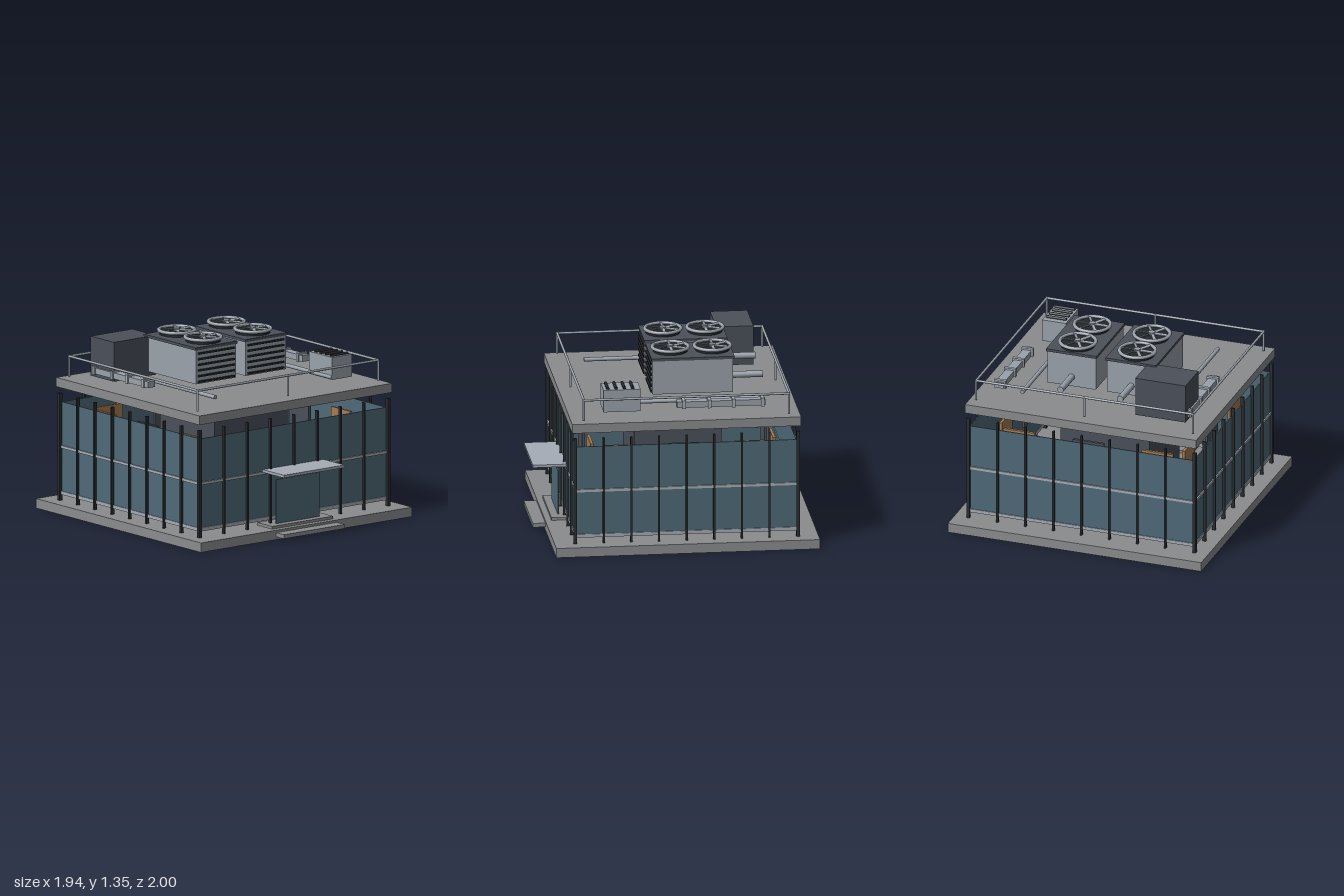
import * as THREE from 'three';

const mat = (c, double) => new THREE.MeshStandardMaterial({ color: c, side: double ? THREE.DoubleSide : THREE.FrontSide });
const M = {
  concrete: mat(0x8a8c8e), glass: mat(0x4f6a78, true), frame: mat(0x2a2e32), dark: mat(0x4b505a),
  metal: mat(0x9aa2ab), light: mat(0xa6adb6), black: mat(0x24272c), warm: mat(0xa67c52), lamp: mat(0xe0a850),
};
const CZ = -0.045; // building centre in z

export function createModel() {
  const root = new THREE.Group();

  // box given by its min/max on each axis
  const box = (name, m, x0, x1, y0, y1, z0, z1, parent = root) => {
    const b = new THREE.Mesh(new THREE.BoxGeometry(x1 - x0, y1 - y0, z1 - z0), m);
    b.position.set((x0 + x1) / 2, (y0 + y1) / 2, (z0 + z1) / 2);
    b.name = name;
    parent.add(b);
    return b;
  };
  // round bar between two points
  const bar = (name, m, a, b, r, parent = root) => {
    const p = new THREE.Vector3(...a), q = new THREE.Vector3(...b), d = q.clone().sub(p);
    const c = new THREE.Mesh(new THREE.CylinderGeometry(r, r, d.length(), 16), m);
    c.position.copy(p).add(q).multiplyScalar(0.5);
    c.quaternion.setFromUnitVectors(new THREE.Vector3(0, 1, 0), d.normalize());
    c.name = name;
    parent.add(c);
    return c;
  };
  // four thin walls around the building
  const ring = (name, m, hx, hz, y0, y1, t) => {
    const g = new THREE.Group();
    g.name = name;
    for (const s of [-1, 1]) {
      box(name + 'Long', m, -hx - t, hx + t, y0, y1, CZ + s * hz - t, CZ + s * hz + t, g);
      box(name + 'Side', m, s * hx - t, s * hx + t, y0, y1, CZ - hz + t, CZ + hz - t, g);
    }
    root.add(g);
  };

  // base, core and roof slab
  box('base', M.concrete, -0.97, 0.97, 0, 0.07, -1, 0.91);
  box('core', M.dark, -0.34, 0.34, 0.05, 0.86, -0.36, 0.275);
  box('roofSlab', M.concrete, -0.885, 0.885, 0.905, 0.972, -0.873, 0.785);

  // facade: glass, transoms and mullions
  ring('glass', M.glass, 0.855, 0.797, 0.12, 0.795, 0.004);
  ring('lowerTransom', M.light, 0.857, 0.799, 0.113, 0.138, 0.008);
  ring('middleTransom', M.light, 0.857, 0.799, 0.455, 0.475, 0.011);
  for (let i = -3; i <= 3; i++) for (const s of [-1, 1]) {
    const x = i * 0.214, z = CZ + i * 0.2, zf = CZ + s * 0.807;
    box('mullion', M.frame, x - 0.007, x + 0.007, 0.07, 0.86, zf - 0.012, zf + 0.012);
    box('mullion', M.frame, s * 0.866 - 0.012, s * 0.866 + 0.012, 0.07, 0.86, z - 0.007, z + 0.007);
  }
  for (const sx of [-1, 1]) for (const sz of [-1, 1])
    box('cornerPost', M.frame, sx * 0.866 - 0.012, sx * 0.866 + 0.012, 0.07, 0.86,
      CZ + sz * 0.807 - 0.012, CZ + sz * 0.807 + 0.012);

  // interior panels seen over the top of the glass
  for (const s of [-1, 1]) for (const p of [-0.53, 0, 0.53]) {
    const m = p === 0 ? M.dark : M.warm, z = CZ + s * 0.66, x = s * 0.7;
    box('interiorPanel', m, p - 0.12, p + 0.12, 0.5, 0.75, z - 0.01, z + 0.01);
    box('interiorPanel', m, x - 0.01, x + 0.01, 0.5, 0.75, CZ + p * 0.9 - 0.11, CZ + p * 0.9 + 0.11);
  }

  // entrance
  box('lowerStep', M.concrete, -0.28, 0.28, 0.022, 0.052, 0.86, 1);
  box('upperStep', M.concrete, -0.28, 0.28, 0.07, 0.09, 0.69, 0.865);
  box('door', M.glass, -0.198, 0.198, 0.09, 0.415, 0.8, 0.81);
  box('canopy', M.light, -0.28, 0.28, 0.47, 0.49, 0.755, 1);
  box('canopyLight', M.lamp, -0.22, 0.22, 0.458, 0.47, 0.935, 0.947);

  // roof railing
  const rx = 0.83, rz0 = -0.79, rz1 = 0.695, ry = 1.135;
  for (const s of [-1, 1]) bar('railSide', M.metal, [s * rx, ry, rz0], [s * rx, ry, rz1], 0.009);
  for (const z of [rz0, rz1]) {
    bar('railLong', M.metal, [-rx, ry, z], [rx, ry, z], 0.009);
    for (const x of [-rx, 0, rx]) bar('railPost', M.metal, [x, 0.985, z], [x, ry + 0.008, z], 0.008);
  }

  // fan: ring, dark well, hub and six blades
  const makeFan = () => {
    const g = new THREE.Group();
    g.name = 'fan';
    const collar = new THREE.Mesh(new THREE.CylinderGeometry(0.125, 0.125, 0.025, 40), M.black);
    collar.position.y = 0.0125;
    collar.name = 'fanWell';
    const rim = new THREE.Mesh(new THREE.TorusGeometry(0.13, 0.013, 10, 48), M.metal);
    rim.rotation.x = Math.PI / 2;
    rim.position.y = 0.03;
    rim.name = 'fanRim';
    const hub = new THREE.Mesh(new THREE.CylinderGeometry(0.024, 0.024, 0.024, 20), M.metal);
    hub.position.y = 0.032;
    hub.name = 'fanHub';
    g.add(collar, rim, hub);
    for (let i = 0; i < 6; i++) {
      const arm = new THREE.Group();
      arm.rotation.y = i * Math.PI / 3;
      const blade = box('fanBlade', M.metal, 0.015, 0.122, 0.03, 0.036, -0.011, 0.011, arm);
      blade.rotation.x = 0.3;
      g.add(arm);
    }
    return g;
  };

  // cooling units
  for (const s of [-1, 1]) {
    const g = new THREE.Group();
    g.name = 'coolingUnit';
    g.position.x = s * 0.228;
    box('unitBody', M.metal, -0.185, 0.185, 1.032, 1.282, -0.435, 0.15, g);
    box('unitLid', M.dark, -0.193, 0.193, 1.282, 1.302, -0.445, 0.157, g);
    for (let i = 0; i < 6; i++) {
      const y = 1.048 + i * 0.0415;
      box('louver', M.black, -0.165, 0.165, y - 0.007, y + 0.007, 0.145, 0.16, g);
    }
    for (const z of [-0.305, 0]) {
      const fan = makeFan();
      fan.position.set(0, 1.302, z);
      g.add(fan);
    }
    bar('unitPipe', M.metal, [0, 1.105, -0.67], [0, 1.105, -0.43], 0.024, g);
    root.add(g);

    // raised duct with straps
    box('duct', M.metal, s * 0.71 - 0.033, s * 0.71 + 0.033, 1.025, 1.07, -0.63, 0.01);
    for (const z of [-0.61, -0.4, -0.225, -0.04])
      box('ductStrap', M.light, s * 0.71 - 0.045, s * 0.71 + 0.045, 1.02, 1.083, z - 0.012, z + 0.012);
  }

  // plant cabinet and floor pipes
  box('plantCabinet', M.dark, -0.73, -0.345, 1.0, 1.29, -0.67, -0.4);
  bar('leftPipe', M.metal, [-0.538, 1.02, -0.42], [-0.538, 1.02, 0.535], 0.015);
  bar('rightPipe', M.metal, [0.535, 1.02, -0.63], [0.535, 1.02, 0.535], 0.015);

  // small vented box
  box('ventBox', M.metal, 0.53, 0.712, 1.003, 1.168, 0.27, 0.538);
  for (let i = 0; i < 4; i++) {
    const z = 0.325 + i * 0.06;
    bar('ventBar', M.black, [0.545, 1.173, z], [0.697, 1.173, z], 0.011);
  }
  return root;
}
